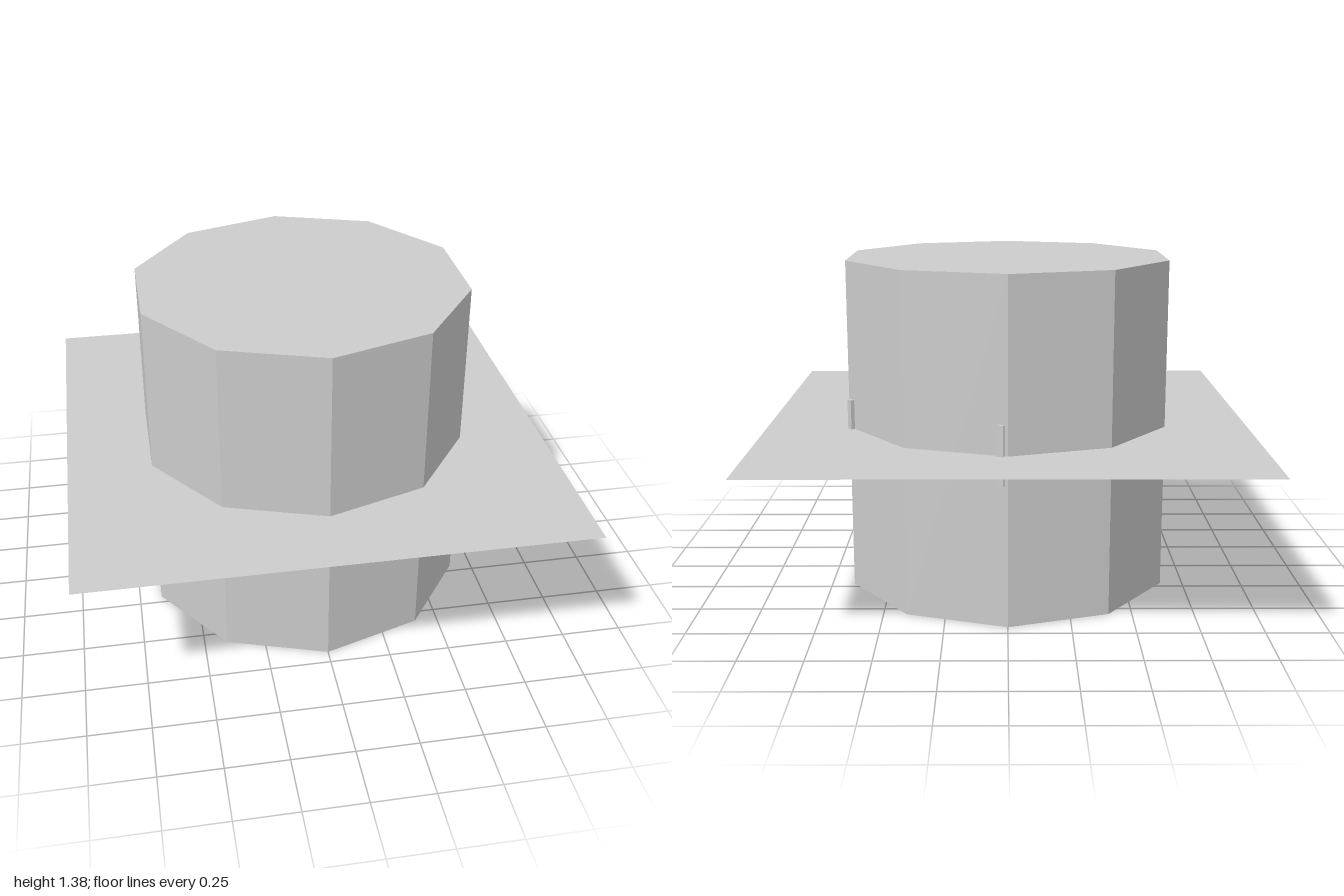
import * as THREE from 'three';

export function createModel() {
  const group = new THREE.Group();
  const grey = new THREE.MeshStandardMaterial({ color: 0xcccccc, flatShading: true, side: THREE.DoubleSide });
  grey.name = 'light grey';

  const radius = 0.69, height = 1.385, sides = 10;
  const add = (name, geometry, y) => {
    const mesh = new THREE.Mesh(geometry, grey);
    mesh.name = name;
    mesh.position.y = y;
    group.add(mesh);
    return mesh;
  };

  // ten-sided drum with a corner facing front and back
  add('drum', new THREE.CylinderGeometry(radius, radius, height, sides), height / 2);

  // thin square sheet through the middle of the drum
  add('sheet', new THREE.PlaneGeometry(2, 2).rotateX(-Math.PI / 2), height / 2);

  // two small upright handles on neighbouring back faces, mirrored about the corner between them
  const apothem = radius * Math.cos(Math.PI / sides);
  const halfFace = radius * Math.sin(Math.PI / sides);
  for (const [name, degrees, side] of [['backHandle', 162, 1], ['sideHandle', 126, -1]]) {
    const handle = new THREE.BoxGeometry(0.028, 0.24, 0.032);
    handle.translate(side * (halfFace - 0.027), 0, apothem);
    add(name, handle, 0.695).rotation.y = THREE.MathUtils.degToRad(degrees);
  }
  return group;
}
